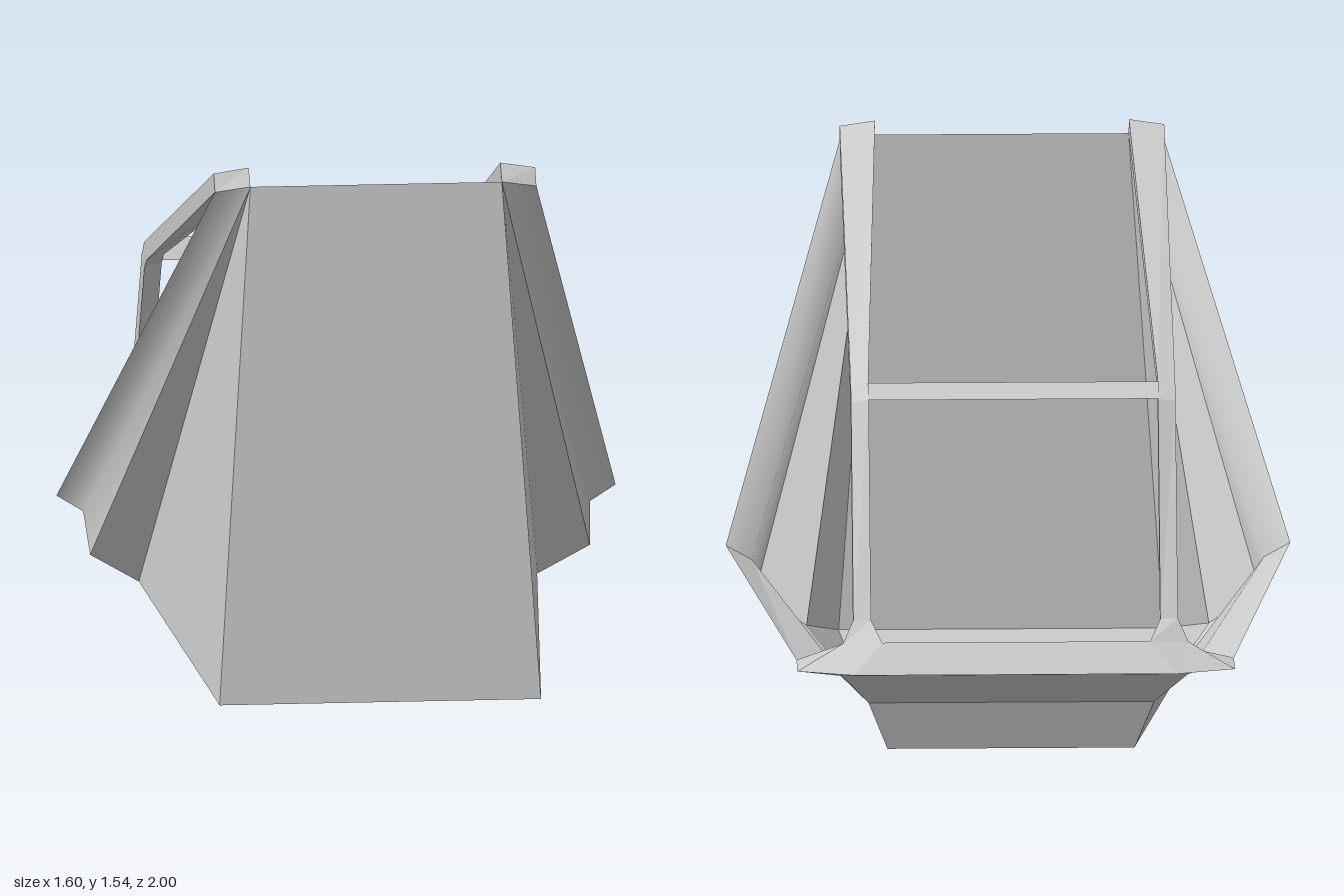
import * as THREE from 'three';
import { mergeVertices } from 'three/addons/utils/BufferGeometryUtils.js';

const flat = new THREE.MeshStandardMaterial({ color: 0xcccccc, flatShading: true, side: THREE.DoubleSide });
const smooth = new THREE.MeshStandardMaterial({ color: 0xcccccc, side: THREE.DoubleSide });

const flip = ([x, y, z]) => [-x, y, z];
const mirrorFace = (face) => face.map(flip).reverse();

// Panels from convex faces, each split as a fan of triangles
function panels(name, faces, material = flat) {
  const pos = [];
  for (const f of faces) {
    for (let i = 1; i < f.length - 1; i++) pos.push(...f[0], ...f[i], ...f[i + 1]);
  }
  let geo = new THREE.BufferGeometry();
  geo.setAttribute('position', new THREE.Float32BufferAttribute(pos, 3));
  if (material === smooth) geo = mergeVertices(geo);
  geo.computeVertexNormals();
  const mesh = new THREE.Mesh(geo, material);
  mesh.name = name;
  return mesh;
}

// Faces joining successive four-cornered rings
function loft(rings) {
  const faces = [];
  for (let r = 0; r < rings.length - 1; r++) {
    for (let i = 0; i < 4; i++) {
      const j = (i + 1) % 4;
      faces.push([rings[r][i], rings[r][j], rings[r + 1][j], rings[r + 1][i]]);
    }
  }
  return faces;
}

// Quad spanning from the left edge a-b to its mirror image
const span = (a, b) => [a, flip(a), flip(b), b];

export function createModel() {
  const group = new THREE.Group();

  // Key points on the left half
  const frontLow = [0.46, 0.02, 1];
  const topIn = [0.36, 1.49, 0.915];
  const topOut = [0.46, 1.475, 0.905];
  const floorBack = [0.35, 0, -0.28];
  const kick = [0.405, 0.15, -0.34];
  const sideLow = [0.57, 0.255, 0.14];
  const sideMid = [0.715, 0.34, 0.18];
  const rimIn = [0.725, 0.455, 0.11];
  const rimOut = [0.8, 0.5, 0.1];
  const backIn = [0.49, 0.35, -0.81];
  const backOut = [0.62, 0.4, -0.82];
  const cornerOut = [0.62, 0.4, -0.95];
  const cornerBack = [0.46, 0.4, -1];
  const sillIn = [0.385, 0.4, -0.86];
  const sillTop = [0.38, 0.48, -0.94];
  const footBack = [0.49, 0.47, -0.91];
  const footFront = [0.49, 0.43, -0.82];

  // Panels crossing the centre line
  group.add(panels('frontPanel', [span(topIn, frontLow)]));
  group.add(panels('floor', [span(frontLow, floorBack), span(floorBack, kick)]));
  group.add(panels('rearSlope', [span(kick, backIn), span(backIn, sillIn)]));
  group.add(panels('rearSill', [
    span(sillIn, cornerBack), span(cornerBack, sillTop), span(sillTop, sillIn),
  ]));

  // Tub side, side flare, rim and corner
  const sideFaces = [
    [frontLow, sideLow, topIn],
    [frontLow, floorBack, kick, sideLow],
    [sideLow, kick, sideMid],
    [sideLow, sideMid, topIn],
    [sideMid, kick, backIn, rimIn],
  ];
  const flareFaces = [
    [sideMid, rimIn, topIn],
    [rimIn, rimOut, topOut, topIn],
  ];
  const rimFaces = [[rimIn, backIn, backOut, rimOut]];
  const cornerFaces = [
    [sillTop, footBack, cornerOut, cornerBack],
    [footBack, footFront, backOut, cornerOut],
    [footFront, backIn, backOut],
    [footFront, sillIn, backIn],
    [backIn, sillIn, cornerBack, cornerOut, backOut],
  ];

  // Canopy rail: front end, two bend rings, post base, flared foot
  const railRings = [
    [[0.36, 1.54, 0.88], [0.46, 1.525, 0.88], topOut, topIn],
    [[0.41, 1.145, -0.53], [0.46, 1.13, -0.53], [0.46, 1.085, -0.48], [0.41, 1.1, -0.485]],
    [[0.41, 1.1, -0.59], [0.46, 1.09, -0.58], [0.46, 1.06, -0.525], [0.41, 1.07, -0.53]],
    [[0.41, 0.53, -0.88], [0.46, 0.53, -0.875], [0.46, 0.47, -0.835], [0.41, 0.48, -0.84]],
    [sillTop, footBack, footFront, sillIn],
  ];
  const railFaces = [[...railRings[0]].reverse(), ...loft(railRings)];

  for (const [side, place] of [['left', (f) => f], ['right', mirrorFace]]) {
    group.add(panels(side + 'Side', sideFaces.map(place)));
    group.add(panels(side + 'Flare', flareFaces.map(place), smooth));
    group.add(panels(side + 'Rim', rimFaces.map(place)));
    group.add(panels(side + 'RearCorner', cornerFaces.map(place)));
    group.add(panels(side + 'CanopyRail', railFaces.map(place)));
  }

  // Three-sided bar between the rails at the bend
  const bar = [[0.412, 1.14, -0.55], [0.412, 1.1, -0.59], [0.412, 1.08, -0.51]];
  group.add(panels('crossbar', bar.map((p, i) => span(p, bar[(i + 1) % 3]))));

  return group;
}
